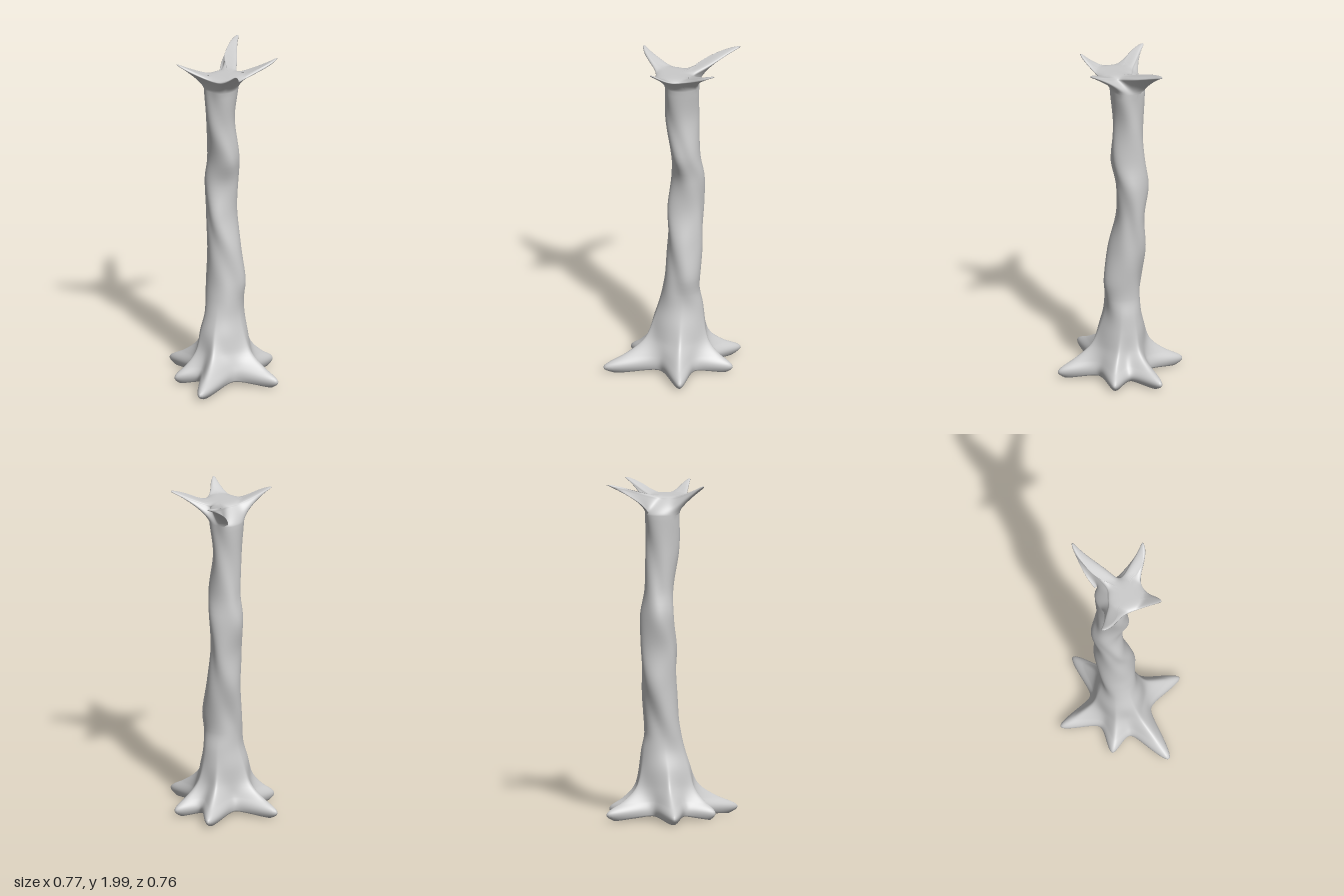
import * as THREE from 'three';

const SEG = 288;
const { clamp, lerp, smoothstep } = THREE.MathUtils;

// trunk outline: y, xMin, xMax, zMin, zMax, diagonal stretch
const TRUNK = [
  [0, -0.11, 0.18, -0.15, 0.165, 0], [0.1, -0.11, 0.18, -0.14, 0.16, 0],
  [0.2, -0.10, 0.18, -0.13, 0.13, 0], [0.3, -0.09, 0.18, -0.125, 0.11, 0],
  [0.4, -0.065, 0.175, -0.115, 0.095, 0], [0.5, -0.045, 0.16, -0.12, 0.1, 0.02],
  [0.6, -0.03, 0.165, -0.125, 0.105, 0.02], [0.8, -0.025, 0.182, -0.135, 0.07, -0.1],
  [1.0, -0.03, 0.19, -0.13, 0.025, -0.02], [1.2, 0, 0.185, -0.16, 0.03, 0.14],
  [1.36, 0, 0.16, -0.145, 0.065, -0.02], [1.6, -0.035, 0.155, -0.13, 0.04, -0.12],
  [1.8, -0.05, 0.17, -0.135, 0.055, -0.05],
];
// how far the roots reach at each height
const REACH = [[0, 0.8], [0.02, 0.95], [0.04, 1], [0.06, 0.93], [0.08, 0.78], [0.1, 0.62],
  [0.15, 0.35], [0.2, 0.2], [0.3, 0.09], [0.4, 0.03], [0.5, 0], [2, 0]];

// tips: x, z, sideways bend
const ROOT_CENTRE = [0.03, 0];
const ROOT_TIPS = [[-0.39, 0.16, 0], [-0.255, -0.14, 0], [-0.01, -0.38, 0],
  [0.385, -0.19, 0], [0.365, 0.08, 0], [0.08, 0.36, 0]];
const CROWN_CENTRE = [0.02, 0.03];
const BRANCH_TIPS = [[-0.18, -0.18, -0.025], [-0.105, 0.21, -0.01], [0.275, 0.21, 0.03], [0.39, -0.19, -0.045]];
const CROWN_R = 0.105;

// smooth interpolation in a table whose first column is the key
function sample(table, key) {
  let i = 0;
  while (i < table.length - 2 && table[i + 1][0] < key) i++;
  const at = (k) => table[Math.min(Math.max(k, 0), table.length - 1)];
  const a = at(i), b = at(i + 1), p = at(i - 1), q = at(i + 2);
  const h = b[0] - a[0], t = (key - a[0]) / h;
  return a.slice(1).map((va, c) => {
    const vb = b[c + 1];
    const m0 = (vb - p[c + 1]) / (b[0] - p[0]) * h, m1 = (q[c + 1] - va) / (q[0] - a[0]) * h;
    const t2 = t * t, t3 = t2 * t;
    return (2 * t3 - 3 * t2 + 1) * va + (t3 - 2 * t2 + t) * m0 + (3 * t2 - 2 * t3) * vb + (t3 - t2) * m1;
  });
}

// pointed lobes around a centre: angle => reach, and the nearest lobe's peak, size and bend
function lobes(tips, [cx, cz], base, width, round, slim) {
  const list = tips.map(([x, z, bend]) => ({
    angle: Math.atan2(z - cz, x - cx), size: Math.hypot(x - cx, z - cz) - base, bend,
  }));
  return (angle) => {
    let sum = 0, near = { peak: 0 };
    for (const { angle: mid, size, bend } of list) {
      const d = Math.abs(Math.atan2(Math.sin(angle - mid), Math.cos(angle - mid)));
      const w = width * Math.min(1.25, Math.pow(0.2 / size, slim));
      const peak = Math.exp(-(Math.hypot(d, round) - round) / w);
      sum += Math.pow(size * peak, 1.6);
      if (peak > near.peak) near = { peak, size, bend };
    }
    return { reach: Math.pow(sum, 1 / 1.6), ...near };
  };
}

const rootLobes = lobes(ROOT_TIPS, ROOT_CENTRE, 0.15, 0.24, 0.065, 0.5);
const branchLobes = lobes(BRANCH_TIPS, CROWN_CENTRE, CROWN_R, 0.17, 0.06, 0.9);

// trunk with a twisted groove, widening into the roots
function trunkPoint(y, a) {
  const [x0, x1, z0, z1, diagonal] = sample(TRUNK, y);
  const { reach, peak } = rootLobes(a);
  const twist = Math.pow((1 + Math.cos(2 * (a - 3.5 * y + 4.85) - Math.PI)) / 2, 3);
  const k = 1.02 + diagonal * Math.sin(2 * a) + (0.04 - 0.15 * twist) * smoothstep(y, 0.2, 0.6);
  // ridges melt into an even flare higher up
  const melt = 0.7 * smoothstep(y, 0.1, 0.35);
  const spread = lerp(reach, 0.16, melt) * Math.max(0, sample(REACH, y)[0]);
  // the foot arches up between the roots
  const arch = 0.03 * (1 - peak) * Math.max(0, 1 - y / 0.2);
  return new THREE.Vector3(
    (x0 + x1) / 2 + Math.cos(a) * ((x1 - x0) / 2 * k + spread), y + arch,
    (z0 + z1) / 2 + Math.sin(a) * ((z1 - z0) / 2 * k + spread));
}

// flat dish drawn out into rising branches; u runs from centre to rim
function crownPoint(u, a) {
  const { reach, size } = branchLobes(a);
  const r = (CROWN_R + reach) * u;
  const t = clamp((r - CROWN_R) / size, 0, 1);
  return new THREE.Vector3(
    CROWN_CENTRE[0] + Math.cos(a) * r,
    1.89 + (0.07 + 0.1 * size) * Math.pow(t, 1.15) + 0.018 * Math.sqrt(1 - Math.pow(u, 5)),
    CROWN_CENTRE[1] + Math.sin(a) * r);
}

// pushes a crown point sideways so that its branch curves
function bent(p, a) {
  const { peak, size, bend } = branchLobes(a);
  const r = Math.hypot(p.x - CROWN_CENTRE[0], p.z - CROWN_CENTRE[1]);
  const t = clamp((r - CROWN_R) / size, 0, 1);
  const side = bend * peak * peak * Math.sin(Math.PI * Math.pow(t, 0.8));
  p.x -= Math.sin(a) * side;
  p.z += Math.cos(a) * side;
  return p;
}

function ring(fn) {
  return Array.from({ length: SEG }, (_, i) => fn(i / SEG * Math.PI * 2));
}

function loft(rings) {
  const pos = [], index = [];
  rings.forEach((r) => r.forEach((p) => pos.push(p.x, p.y, p.z)));
  for (let i = 0; i < rings.length - 1; i++) {
    for (let j = 0; j < SEG; j++) {
      const k = (j + 1) % SEG;
      const a = i * SEG + j, b = i * SEG + k, c = a + SEG, d = b + SEG;
      index.push(a, c, b, b, c, d);
    }
  }
  const g = new THREE.BufferGeometry();
  g.setAttribute('position', new THREE.Float32BufferAttribute(pos, 3));
  g.setIndex(index);
  g.computeVertexNormals();
  return g;
}

export function createModel() {
  const rings = [];
  // underside, slightly hollow towards the middle
  for (const s of [0.01, 0.3, 0.6, 0.85]) {
    rings.push(ring((a) => {
      const p = trunkPoint(0, a);
      return new THREE.Vector3(0.03 + (p.x - 0.03) * s, lerp(0.02, p.y, s), p.z * s);
    }));
  }
  // roots and trunk
  for (let y = 0; y < 0.095; y += 0.01) rings.push(ring((a) => trunkPoint(y, a)));
  for (let y = 0.1; y < 0.49; y += 0.02) rings.push(ring((a) => trunkPoint(y, a)));
  for (let i = 0; i <= 40; i++) rings.push(ring((a) => trunkPoint(0.5 + i * 0.0325, a)));
  // underside of the crown and branches
  for (let i = 1; i <= 16; i++) {
    const u = i / 16;
    rings.push(ring((a) => {
      const p = trunkPoint(1.8, a), rim = crownPoint(1, a);
      const y = lerp(p.y, rim.y, Math.pow(u, 0.85));
      return bent(p.lerp(rim, Math.pow(u, 1.25)).setY(y), a);
    }));
  }
  // dished top of the crown
  for (const u of [0.99, 0.97, 0.94, 0.9, 0.84, 0.78, 0.71, 0.64, 0.57, 0.5, 0.43, 0.36, 0.28, 0.2, 0.1, 0.005]) {
    rings.push(ring((a) => bent(crownPoint(u, a), a)));
  }

  const tree = new THREE.Mesh(loft(rings), new THREE.MeshStandardMaterial({ color: 0xcccccc, roughness: 0.8 }));
  tree.name = 'twistedTreeTrunk';
  const group = new THREE.Group();
  group.name = 'tree';
  group.add(tree);
  return group;
}
